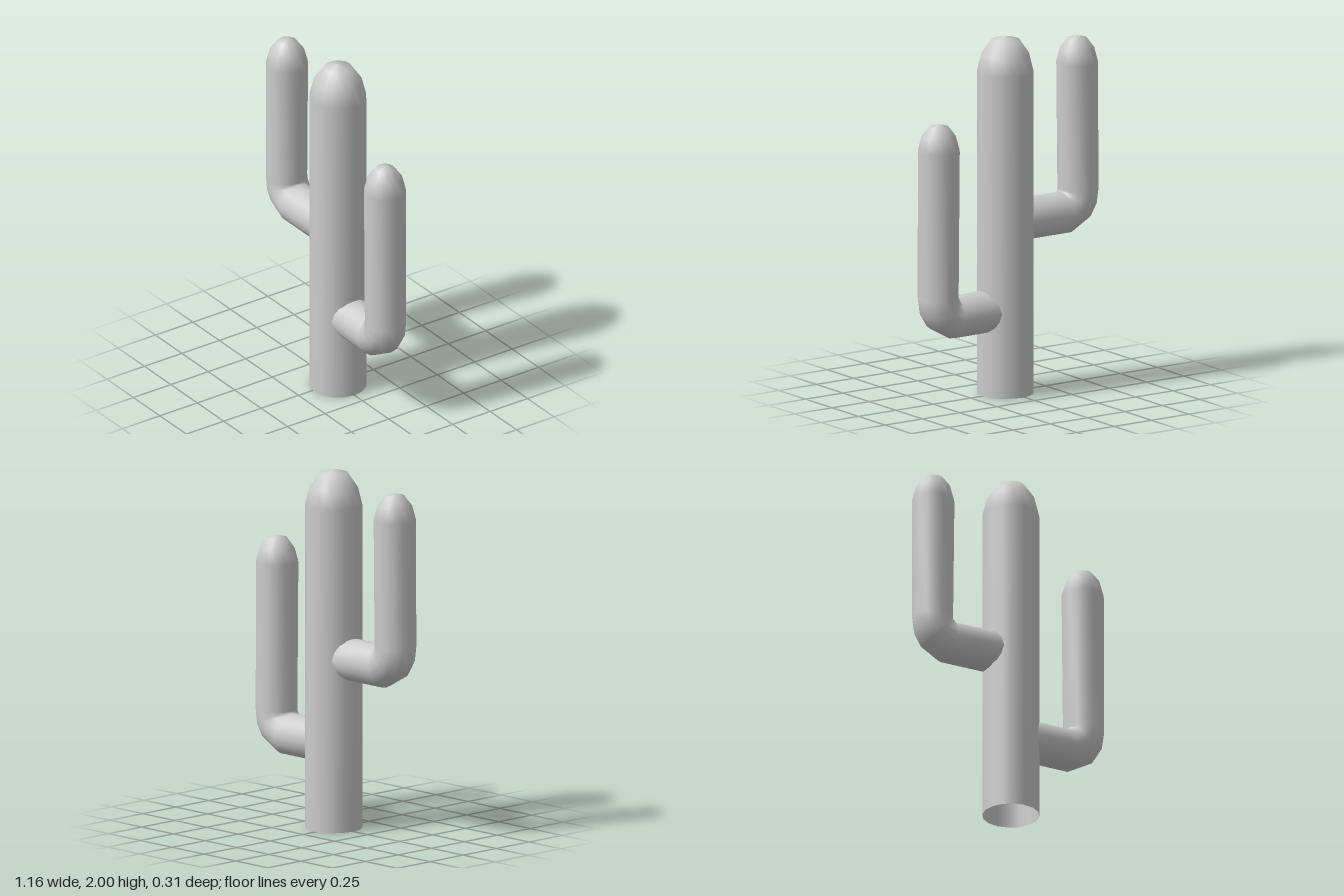
import * as THREE from 'three';

const SIDES = 16;
const material = new THREE.MeshStandardMaterial({ color: 0xcccccc, side: THREE.DoubleSide });

// Smooth skin over rings, each given by its inner and outer point [ix, iy, ox, oy, halfDepth]
function skinRings(rings, side) {
  const pos = [], index = [];
  for (const [ix, iy, ox, oy, depth] of rings) {
    for (let i = 0; i < SIDES; i++) {
      const a = (i / SIDES) * Math.PI * 2;
      const t = (1 + Math.cos(a)) / 2;
      pos.push(side * (ix + (ox - ix) * t), iy + (oy - iy) * t, -side * depth * Math.sin(a));
    }
  }
  for (let j = 0; j < rings.length - 1; j++) {
    for (let i = 0; i < SIDES; i++) {
      const n = (i + 1) % SIDES;
      const a = j * SIDES + i, b = j * SIDES + n;
      index.push(a, b, a + SIDES, b, b + SIDES, a + SIDES);
    }
  }
  // Close the rounded tip with a fan to one point
  const last = rings.length - 1, [ix, iy, ox, , depth] = rings[last];
  const tip = pos.length / 3;
  pos.push(side * (ix + ox) / 2, iy + depth * 0.27, 0);
  for (let i = 0; i < SIDES; i++) index.push(last * SIDES + i, last * SIDES + (i + 1) % SIDES, tip);

  const geo = new THREE.BufferGeometry();
  geo.setAttribute('position', new THREE.Float32BufferAttribute(pos, 3));
  geo.setIndex(index);
  geo.computeVertexNormals();
  return geo;
}

// Arm: horizontal stub, elbow pinched on its inside, upright column and dome
function makeArm(name, side, baseY, topY) {
  const r = 0.116, cx = 0.463, d = 0.235;
  const rings = [
    [0.06, baseY + d, 0.06, baseY, r],
    [0.35, baseY + d - 0.005, 0.395, baseY, r],
    [0.354, baseY + d, 0.52, baseY + 0.07, r],
    [0.355, baseY + d + 0.003, 0.566, baseY + 0.145, r],
    [0.356, baseY + d + 0.006, cx + r, baseY + d, r],
  ];
  for (const [drop, k] of [[0.15, 1], [0.07, 0.82], [0.014, 0.46]]) {
    rings.push([cx - r * k, topY - drop, cx + r * k, topY - drop, r * k]);
  }
  const arm = new THREE.Mesh(skinRings(rings, side), material);
  arm.name = name;
  return arm;
}

export function createModel() {
  const group = new THREE.Group();
  group.name = 'cactus';

  // Trunk, open underneath, with a domed top
  const profile = [[0.157, 0], [0.157, 1.8], [0.132, 1.9], [0.077, 1.98], [0, 2]];
  const trunk = new THREE.Mesh(
    new THREE.LatheGeometry(profile.map(([x, y]) => new THREE.Vector2(x, y)), SIDES), material);
  trunk.name = 'trunk';
  trunk.position.x = 0.018;
  group.add(trunk);

  group.add(makeArm('leftArm', 1, 0.355, 1.565));
  group.add(makeArm('rightArm', -1, 0.842, 1.937));
  return group;
}
